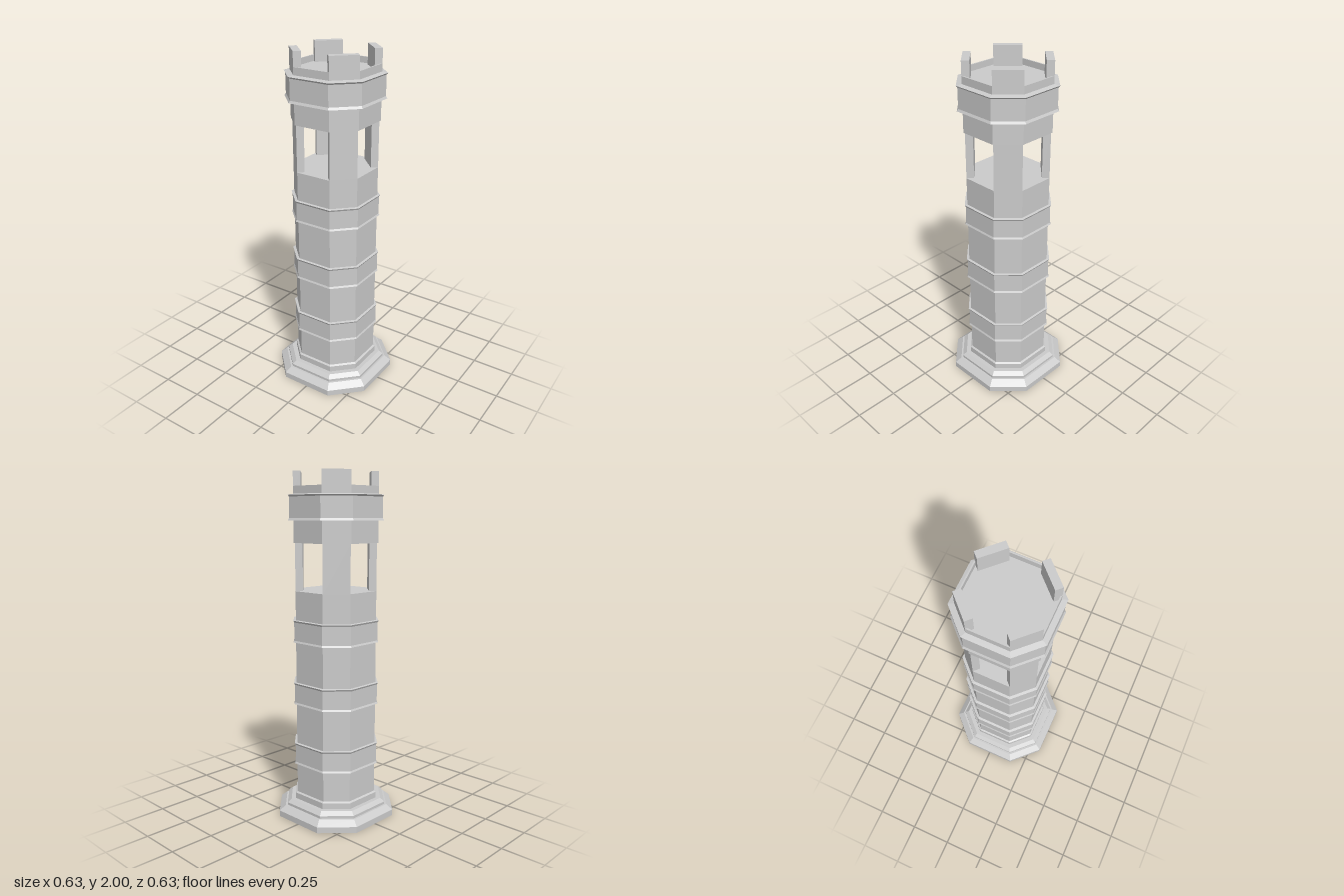
import * as THREE from 'three';

const material = new THREE.MeshStandardMaterial({ color: 0xcccccc, flatShading: true });

// Octagon of half width 1 whose straight sides are longer than its diagonal sides
const CORNERS = [[1, 0.5], [0.5, 1], [-0.5, 1], [-1, 0.5], [-1, -0.5], [-0.5, -1], [0.5, -1], [1, -0.5]];

// Sweeps a profile of [halfWidth, y] points round the octagon
function octagonal(name, profile) {
  const positions = [];
  const point = ([r, y], i) => {
    const [x, z] = CORNERS[i % 8];
    return [x * r, y, -z * r];
  };
  for (let k = 0; k < profile.length - 1; k++) {
    const lower = profile[k], upper = profile[k + 1];
    for (let i = 0; i < 8; i++) {
      const a = point(lower, i), b = point(lower, i + 1);
      const c = point(upper, i + 1), d = point(upper, i);
      if (lower[0] > 0) positions.push(...a, ...b, ...c);
      if (upper[0] > 0) positions.push(...a, ...c, ...d);
    }
  }
  const geometry = new THREE.BufferGeometry();
  geometry.setAttribute('position', new THREE.Float32BufferAttribute(positions, 3));
  geometry.computeVertexNormals();
  const mesh = new THREE.Mesh(geometry, material);
  mesh.name = name;
  return mesh;
}

// Four upright blocks, one on each diagonal side
function diagonalBlocks(name, halfWidth, bottom, top) {
  const group = new THREE.Group();
  group.name = name + 's';
  const depth = 0.042;
  const geometry = new THREE.BoxGeometry(halfWidth * Math.SQRT1_2, top - bottom, depth);
  const distance = 1.5 * halfWidth * Math.SQRT1_2 - depth / 2;
  for (let i = 0; i < 4; i++) {
    const angle = Math.PI / 4 + i * Math.PI / 2;
    const mesh = new THREE.Mesh(geometry, material);
    mesh.name = name;
    mesh.position.set(Math.sin(angle) * distance, (bottom + top) / 2, Math.cos(angle) * distance);
    mesh.rotation.y = angle;
    group.add(mesh);
  }
  return group;
}

export function createModel() {
  const tower = new THREE.Group();
  tower.name = 'tower';

  // Stepped base, hollow underneath
  tower.add(octagonal('base', [
    [0, 0.06], [0.235, 0.06], [0.275, 0.045], [0.295, 0], [0.317, 0], [0.317, 0.035], [0.283, 0.065],
    [0.272, 0.065], [0.272, 0.08], [0.25, 0.1], [0.225, 0.1], [0.225, 0.135], [0.215, 0.142], [0, 0.142],
  ]));

  // Shaft up to the floor of the open storey
  tower.add(octagonal('shaft', [[0.215, 0.14], [0.215, 1.343], [0, 1.343]]));

  // Raised bands with slim lips
  for (const y of [0.32, 0.685, 1.05]) {
    tower.add(octagonal('band', [
      [0.214, y], [0.229, y], [0.224, y + 0.01], [0.224, y + 0.115], [0.229, y + 0.125], [0.214, y + 0.128],
    ]));
  }

  // Open storey
  tower.add(diagonalBlocks('pillar', 0.215, 1.34, 1.615));

  // Lintel, cornice, thin parapet wall and roof floor
  tower.add(octagonal('lintel', [[0, 1.612], [0.222, 1.612], [0.222, 1.74]]));
  tower.add(octagonal('cornice', [
    [0.22, 1.735], [0.25, 1.735], [0.243, 1.748], [0.243, 1.863], [0.25, 1.872], [0.222, 1.878],
  ]));
  tower.add(octagonal('parapet', [
    [0.222, 1.875], [0.222, 1.92], [0.214, 1.92], [0.214, 1.885], [0, 1.885],
  ]));
  tower.add(diagonalBlocks('merlon', 0.222, 1.88, 2));

  return tower;
}
